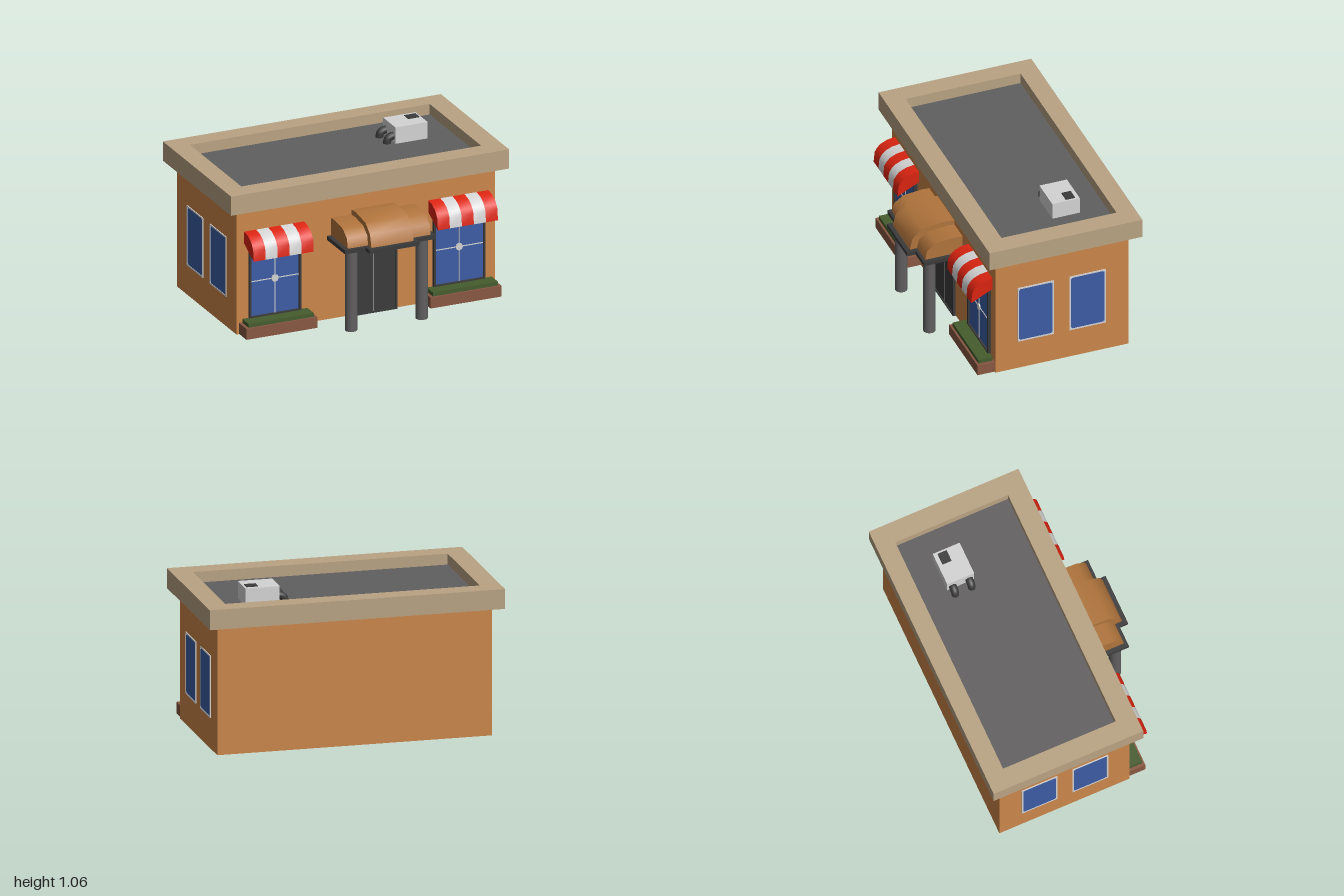
import * as THREE from 'three';
import { toCreasedNormals } from 'three/addons/utils/BufferGeometryUtils.js';

const mat = (name, color, side = THREE.FrontSide) => {
  const m = new THREE.MeshStandardMaterial({ color, side });
  m.name = name;
  return m;
};

export function createModel() {
  const M = {
    wall: mat('orangeWall', 0xcb864a, THREE.DoubleSide),
    trim: mat('tanTrim', 0xb9a383),
    grey: mat('grey', 0x615f60, THREE.DoubleSide),
    glass: mat('blueGlass', 0x3c5ca4),
    light: mat('lightGrey', 0xd4d4d4),
    red: mat('awningRed', 0xdb2411),
    canopy: mat('canopyBrown', 0xb0743c),
    planter: mat('planterBrown', 0x885842),
    green: mat('hedgeGreen', 0x465c2e),
    dark: mat('charcoal', 0x3b3b3c),
  };
  const root = new THREE.Group();
  root.name = 'shop';

  const add = (parent, name, geo, material) => {
    const mesh = new THREE.Mesh(geo, material);
    mesh.name = name;
    parent.add(mesh);
    return mesh;
  };
  // Box given by its extents on each axis
  const box = (parent, name, material, [x0, x1], [y0, y1], [z0, z1]) => {
    const mesh = add(parent, name, new THREE.BoxGeometry(x1 - x0, y1 - y0, z1 - z0), material);
    mesh.position.set((x0 + x1) / 2, (y0 + y1) / 2, (z0 + z1) / 2);
    return mesh;
  };
  const group = (name, x = 0, y = 0, z = 0) => {
    const g = new THREE.Group();
    g.name = name;
    g.position.set(x, y, z);
    root.add(g);
    return g;
  };
  const shapeOf = pts => new THREE.Shape(pts.map(p => new THREE.Vector2(...p)));
  const rect = (x0, x1, y0, y1) => [[x0, y0], [x1, y0], [x1, y1], [x0, y1]];
  // Plan outline (x, z) extruded down from a top height
  const slab = (shape, top, depth) =>
    new THREE.ExtrudeGeometry(shape, { depth, bevelEnabled: false }).rotateX(Math.PI / 2).translate(0, top, 0);
  // Side profile (z, y) extruded along x
  const barrel = (pts, x0, x1) => toCreasedNormals(
    new THREE.ExtrudeGeometry(shapeOf(pts), { depth: x1 - x0, bevelEnabled: false })
      .rotateY(-Math.PI / 2).translate(x1, 0, 0), 0.85);
  // Upright ring in the xy plane
  const ring = (w, h, t, depth) => {
    const s = shapeOf(rect(-w / 2, w / 2, -h / 2, h / 2));
    s.holes.push(shapeOf(rect(-w / 2 + t, w / 2 - t, -h / 2 + t, h / 2 - t)));
    return new THREE.ExtrudeGeometry(s, { depth, bevelEnabled: false });
  };

  // Walls, open at the bottom
  const W = 0.93, zF = 0.33, zB = -0.603, y0 = 0.007, y1 = 0.9;
  const walls = group('walls', 0, (y0 + y1) / 2, (zF + zB) / 2);
  for (const [name, len, off, turn] of [
    ['frontWall', 2 * W, (zF - zB) / 2, 0], ['backWall', 2 * W, (zF - zB) / 2, Math.PI],
    ['leftWall', zF - zB, W, Math.PI / 2], ['rightWall', zF - zB, W, -Math.PI / 2]]) {
    add(walls, name, new THREE.PlaneGeometry(len, y1 - y0).translate(0, 0, off).rotateY(turn), M.wall);
  }

  // Parapet and sunken flat roof
  const rim = shapeOf(rect(-1, 1, -0.675, 0.397));
  rim.holes.push(shapeOf(rect(-0.864, 0.861, -0.547, 0.26)));
  add(root, 'parapet', slab(rim, 1.014, 0.135), M.trim);
  box(root, 'roof', M.grey, [-0.88, 0.88], [0.92, 0.94], [-0.56, 0.275]);

  // Rooftop air unit with two elbow ducts
  const unit = group('airUnit');
  box(unit, 'unitBody', M.light, [0.442, 0.674], [0.935, 1.055], [-0.363, -0.17]);
  box(unit, 'unitVent', M.dark, [0.58, 0.66], [1.052, 1.06], [-0.335, -0.27]);
  for (const z of [-0.325, -0.207]) {
    const path = new THREE.CatmullRomCurve3([
      [0.45, 0.985], [0.43, 0.984], [0.405, 0.97], [0.398, 0.945], [0.398, 0.935],
    ].map(([x, y]) => new THREE.Vector3(x, y, z)));
    add(unit, 'duct', new THREE.TubeGeometry(path, 12, 0.026, 12), M.dark);
  }

  // Side windows
  for (const side of [-1, 1]) {
    for (const z of [0.047, -0.317]) {
      const win = group('sideWindow', side * W, 0.428, z);
      win.rotation.y = side * Math.PI / 2;
      box(win, 'pane', M.glass, [-0.12, 0.12], [-0.202, 0.202], [-0.006, 0.003]);
      add(win, 'frame', ring(0.255, 0.422, 0.01, 0.012).translate(0, 0, -0.006), M.light);
      for (const sx of [-1, 1]) for (const sy of [-1, 1]) {
        const stud = box(win, 'frameStud', M.light, [-0.004, 0.004], [-0.004, 0.004], [0, 0.005]);
        stud.position.x = sx * 0.114;
        stud.position.y = sy * 0.197;
      }
    }
  }

  // Front bays: window, striped awning and planter
  const awning = [[0.48, 0.565], [0.473, 0.64], [0.455, 0.67], [0.433, 0.693], [0.386, 0.715],
    [0.325, 0.724], [0.325, 0.642]];
  for (const x of [-0.66, 0.665]) {
    const bay = group('frontBay', x);
    add(bay, 'windowFrame', ring(0.372, 0.515, 0.014, 0.027).translate(0, 0.367, 0.325), M.dark);
    box(bay, 'windowPane', M.glass, [-0.174, 0.174], [0.12, 0.615], [0.332, 0.339]);
    box(bay, 'uprightBar', M.light, [-0.003, 0.003], [0.12, 0.615], [0.337, 0.343]);
    box(bay, 'crossBar', M.light, [-0.174, 0.174], [0.363, 0.369], [0.337, 0.343]);
    add(bay, 'barBoss', new THREE.CylinderGeometry(0.026, 0.026, 0.008, 8)
      .rotateX(Math.PI / 2).translate(0, 0.366, 0.343), M.light);
    for (let i = 0; i < 5; i++) {
      const a = -0.216 + i * 0.0864;
      add(bay, 'awningStripe', barrel(awning, a, a + 0.0864), i % 2 ? M.light : M.red);
    }
    box(bay, 'planterBox', M.planter, [-0.254, 0.256], [0.011, 0.087], [0.325, 0.451]);
    box(bay, 'hedge', M.green, [-0.232, 0.236], [0.08, 0.114], [0.337, 0.437]);
  }

  // Entrance: double door, columns and stepped barrel canopy
  const porch = group('entrance', 0.047);
  box(porch, 'door', M.dark, [-0.16, 0.16], [0.005, 0.6], [0.332, 0.342]);
  add(porch, 'doorFrame', ring(0.342, 0.61, 0.012, 0.025).translate(0, 0.31, 0.325), M.dark);
  box(porch, 'doorSeam', M.light, [-0.002, 0.002], [0.01, 0.59], [0.34, 0.344]);
  for (const x of [-0.254, 0.254]) {
    add(porch, 'column', new THREE.CylinderGeometry(0.041, 0.041, 0.575, 24, 1, true)
      .translate(x, 0.2875, 0.548), M.grey);
  }
  add(porch, 'canopyBase', slab(shapeOf([[-0.328, 0.325], [0.328, 0.325], [0.328, 0.615], [0.18, 0.615],
    [0.18, 0.675], [-0.18, 0.675], [-0.18, 0.615], [-0.328, 0.615]]), 0.594, 0.027), M.dark);
  const low = [[0.332, 0.59], [0.595, 0.59], [0.58, 0.66], [0.516, 0.706], [0.386, 0.72], [0.332, 0.717]];
  const high = [[0.332, 0.59], [0.647, 0.59], [0.624, 0.68], [0.552, 0.738], [0.4, 0.757], [0.332, 0.75]];
  add(porch, 'canopyWings', barrel(low, -0.298, 0.298), M.canopy);
  add(porch, 'canopyCentre', barrel(high, -0.152, 0.152), M.canopy);

  return root;
}
